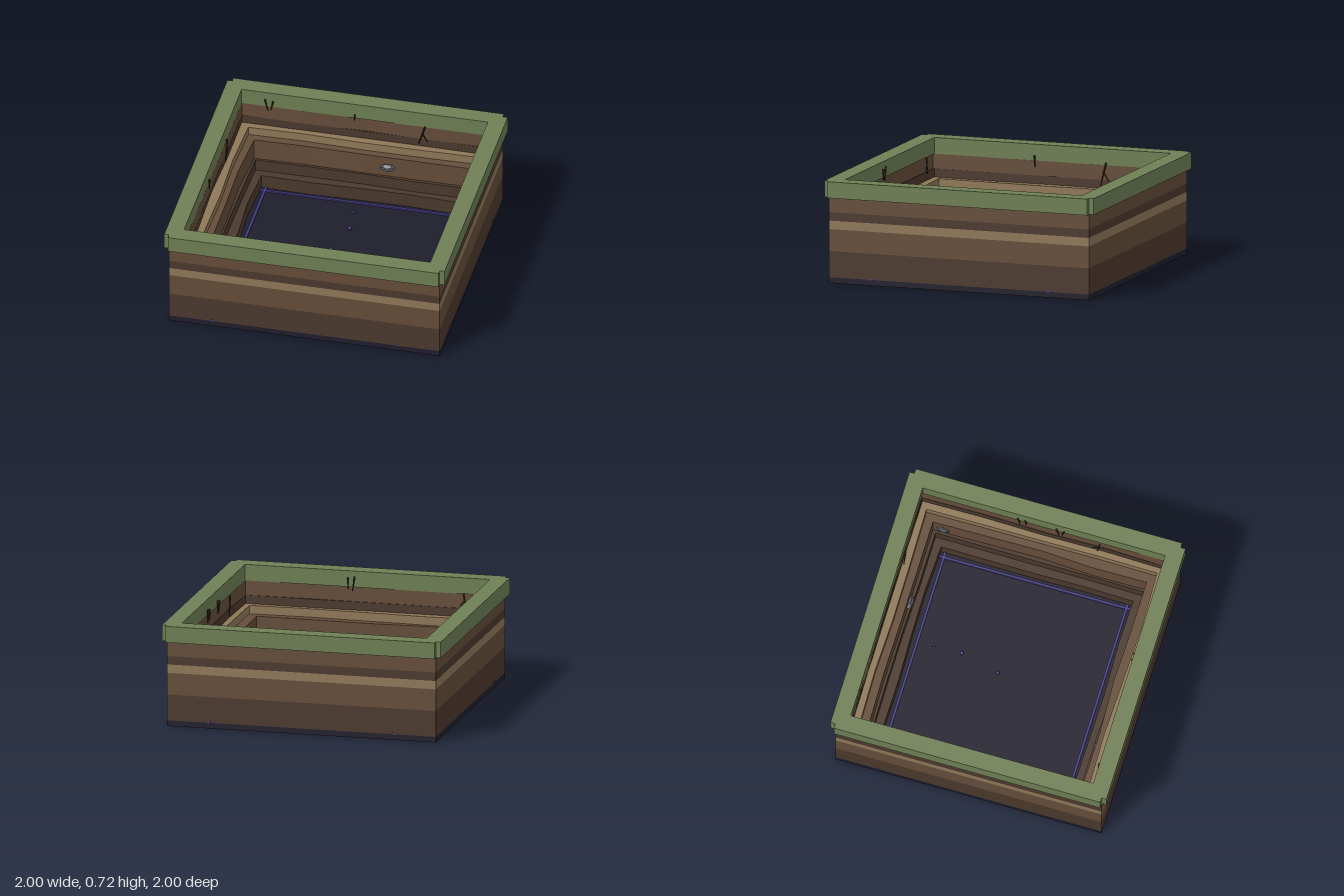
import * as THREE from 'three';

const mat = (color) => new THREE.MeshStandardMaterial({ color, flatShading: true });
const GRASS = mat(0x6f7f55), SOIL = mat(0x664d3a), DARK = mat(0x4b392d), SAND = mat(0x907858);
const BASE = mat(0x1f1e2c), GLOW = mat(0x453d85), STONE = mat(0x5a6068), ROOT = mat(0x33251a);
const HALF = 0.965;

// small seeded generator, returns -1..1
let seed = 7;
const rand = () => {
  seed = (seed * 16807) % 2147483647;
  return (seed / 2147483647) * 2 - 1;
};

function add(parent, name, geometry, material, x = 0, y = 0, z = 0) {
  const mesh = new THREE.Mesh(geometry, material);
  mesh.name = name;
  mesh.position.set(x, y, z);
  parent.add(mesh);
  return mesh;
}

// square loop with a wobbling edge
function raggedSquare(half, wobble, steps = 4) {
  const points = [];
  for (let side = 0; side < 4; side++) {
    for (let i = 0; i < steps; i++) {
      const along = -half + (2 * half * i) / steps;
      const p = new THREE.Vector2(along, -half + wobble * rand());
      points.push(p.rotateAround(new THREE.Vector2(), (side * Math.PI) / 2));
    }
  }
  return points;
}

// flat ring between two loops, lying from y0 to y1
function ring(outer, inner, y0, y1) {
  const shape = new THREE.Shape(outer);
  shape.holes.push(new THREE.Path(inner));
  const geometry = new THREE.ExtrudeGeometry(shape, { depth: y1 - y0, bevelEnabled: false });
  return geometry.rotateX(-Math.PI / 2).translate(0, y0, 0);
}

export function createModel() {
  seed = 7;
  const pit = new THREE.Group();
  pit.name = 'excavatedPit';

  // dark slab under everything
  add(pit, 'baseSlab', new THREE.BoxGeometry(2 * HALF, 0.04, 2 * HALF), BASE, 0, 0.02, 0);

  // soil layers, stepping inward towards the bottom: y0, y1, inner half width, wobble
  const square = raggedSquare(HALF, 0, 1);
  const layers = [
    ['deepSoilLower', 0.04, 0.14, 0.7, 0.014, DARK],
    ['deepSoilUpper', 0.14, 0.225, 0.758, 0.01, DARK],
    ['middleSoil', 0.225, 0.38, 0.775, 0.012, SOIL],
    ['sandBand', 0.38, 0.44, 0.832, 0.016, SAND],
    ['darkBand', 0.44, 0.5, 0.882, 0.008, DARK],
    ['topSoil', 0.5, 0.605, 0.884, 0.008, SOIL],
  ];
  for (const [name, y0, y1, half, wobble, material] of layers) {
    add(pit, name, ring(square, raggedSquare(half, wobble), y0, y1), material);
  }

  // grass rim with notched outer corners
  const notched = [];
  for (let side = 0; side < 4; side++) {
    for (const [x, y] of [[-HALF, -HALF], [-HALF, -1], [HALF, -1]]) {
      notched.push(new THREE.Vector2(x, y).rotateAround(new THREE.Vector2(), (side * Math.PI) / 2));
    }
  }
  add(pit, 'grassRim', ring(notched, raggedSquare(0.878, 0, 1), 0.605, 0.72), GRASS);

  // glowing strips crossing near the corners of the floor
  for (const s of [-1, 1]) {
    add(pit, 'floorStrip', new THREE.BoxGeometry(0.018, 0.014, 1.934), GLOW, s * 0.662, 0.044, 0);
    add(pit, 'floorStrip', new THREE.BoxGeometry(1.934, 0.014, 0.018), GLOW, 0, 0.044, s * 0.662);
  }

  // glowing beads on the floor
  for (const [x, z, r] of [[0, -0.535, 0.011], [0.02, -0.34, 0.014], [-0.05, -0.06, 0.012]]) {
    add(pit, 'floorBead', new THREE.SphereGeometry(r, 10, 8), GLOW, x, 0.05, z);
  }

  // stones set in the walls
  for (const [x, y, z, r] of [
    [0.19, 0.3, -0.765, 0.055], [0.775, 0.29, -0.7, 0.05],
    [-0.46, 0.28, 0.77, 0.032], [-0.765, 0.28, 0.735, 0.03],
  ]) {
    const stone = add(pit, 'stone', new THREE.DodecahedronGeometry(r, 0), STONE, x, y, z);
    const acrossX = Math.abs(z) > Math.abs(x) || r < 0.04;
    stone.scale.set(acrossX ? 1 : 0.45, 0.6, acrossX ? 0.45 : 1);
    stone.rotation.x = 0.2;
  }

  // forked roots hanging from the upper walls: x, y, z, length
  for (const [x, y, z, length] of [
    [-0.87, 0.54, -0.38, 0.17], [0.41, 0.54, -0.87, 0.15], [-0.872, 0.6, 0.13, 0.08],
    [-0.7, 0.55, 0.865, 0.12], [0.1, 0.63, 0.872, 0.1], [0.14, 0.63, 0.872, 0.08],
    [0.865, 0.54, 0.4, 0.14], [0.873, 0.6, 0.1, 0.1], [0.873, 0.6, 0.14, 0.08],
    [0.873, 0.6, -0.18, 0.1], [0.873, 0.6, -0.13, 0.08],
    [-0.7, 0.62, -0.873, 0.09], [-0.66, 0.62, -0.873, 0.07], [-0.07, 0.61, -0.873, 0.05],
  ]) {
    const root = new THREE.Group();
    root.name = 'root';
    root.position.set(x, y, z);
    root.rotation.y = Math.abs(x) > Math.abs(z) ? Math.PI / 2 : 0;
    const lean = 0.3 * rand();
    const stem = add(root, 'rootStem', new THREE.CylinderGeometry(0.007, 0.003, length, 5), ROOT);
    stem.rotation.z = lean;
    if (length > 0.11) {
      const fork = add(root, 'rootFork', new THREE.CylinderGeometry(0.005, 0.002, length * 0.5, 5), ROOT, 0.02, -0.015, 0);
      fork.rotation.z = lean + 0.8;
    }
    pit.add(root);
  }
  return pit;
}
